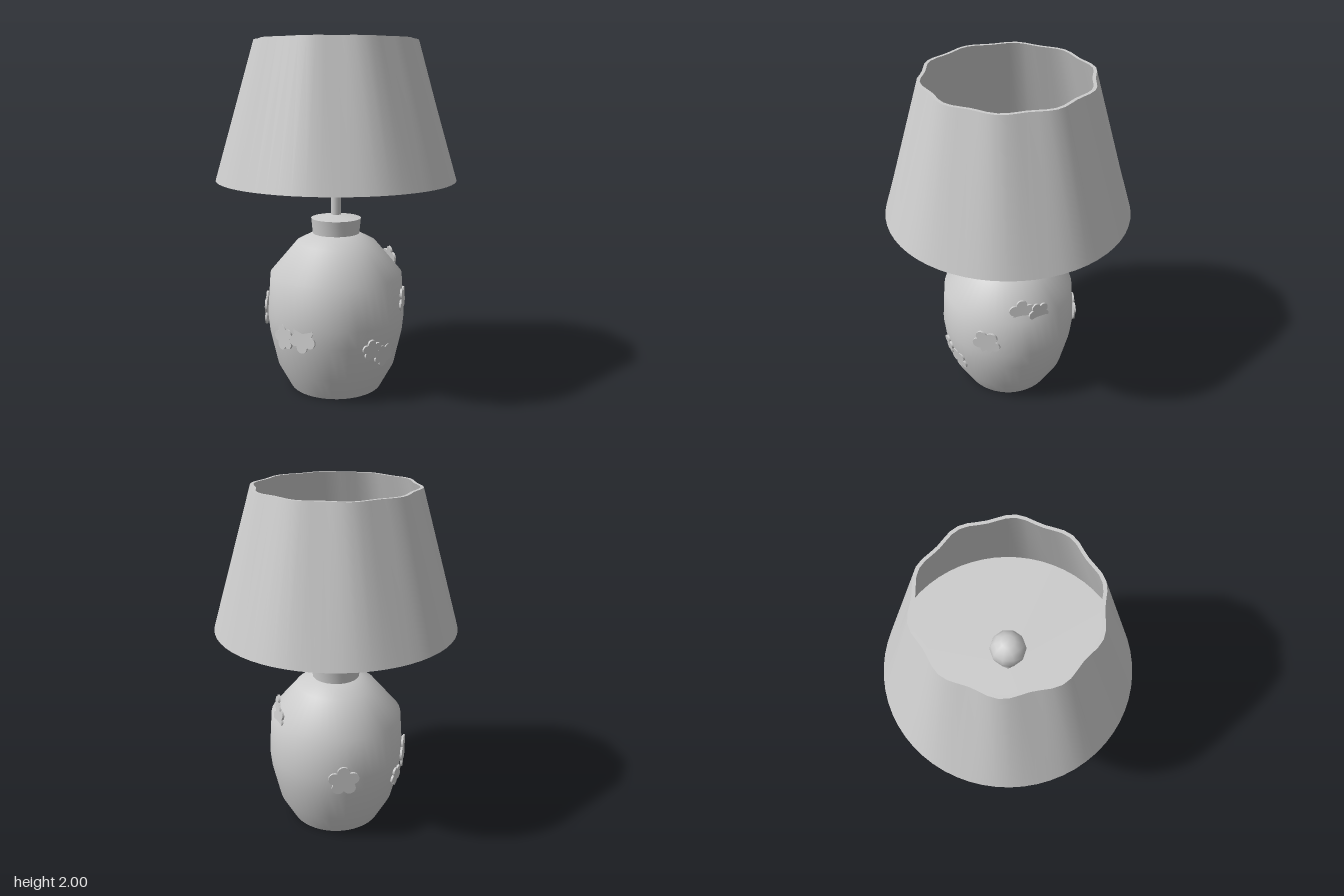
import * as THREE from 'three';
import { toCreasedNormals } from 'three/addons/utils/BufferGeometryUtils.js';

const material = new THREE.MeshStandardMaterial({ color: 0xcccccc });

// Outer profile of the vase, from foot to shoulder: [radius, height]
const VASE = [[0.27, 0], [0.345, 0.14], [0.39, 0.34], [0.4, 0.44], [0.383, 0.68], [0.23, 0.862], [0.13, 0.915]];

function addMesh(parent, name, geometry) {
  const mesh = new THREE.Mesh(geometry, material);
  mesh.name = name;
  parent.add(mesh);
  return mesh;
}

function lathe(points, sides) {
  return new THREE.LatheGeometry(points.map(([r, y]) => new THREE.Vector2(r, y)), sides);
}

function vaseRadius(y) {
  const i = Math.max(1, VASE.findIndex((p) => p[1] >= y));
  const [r0, y0] = VASE[i - 1];
  const [r1, y1] = VASE[i];
  return r0 + (r1 - r0) * (y - y0) / (y1 - y0);
}

// Thin relief blossom with five rounded petals, radius 1 before scaling
function blossomGeometry() {
  const shape = new THREE.Shape();
  const petals = 5;
  for (let i = 0; i < petals; i++) {
    const a = (i / petals) * Math.PI * 2 + Math.PI / 2;
    const cx = Math.cos(a) * 0.6, cy = Math.sin(a) * 0.6;
    shape.absarc(cx, cy, 0.4, a - 1.9, a + 1.9, false);
  }
  shape.closePath();
  return new THREE.ExtrudeGeometry(shape, { depth: 1, bevelEnabled: false, curveSegments: 8 });
}

// Shade: thin shell with a closed floor and a ten-lobed upper rim
function shadeGeometry() {
  const bottom = 1.23, top = 2;
  const geometry = lathe([[0, bottom], [0.68, bottom], [0.446, top], [0.428, top], [0.66, bottom + 0.015], [0, bottom + 0.015]], 60);
  const pos = geometry.attributes.position;
  for (let i = 0; i < pos.count; i++) {
    const x = pos.getX(i), y = pos.getY(i), z = pos.getZ(i);
    const lobe = Math.cos(10 * (Math.atan2(-z, x) - 1.48));
    const k = 1 + 0.026 * lobe * Math.max(0, (y - bottom - 0.02) / (top - bottom));
    pos.setXYZ(i, x * k, y, z * k);
  }
  return toCreasedNormals(geometry, 0.7);
}

export function createModel() {
  const lamp = new THREE.Group();
  lamp.name = 'tableLamp';

  // Vase and collar
  addMesh(lamp, 'vase', toCreasedNormals(lathe([[0, 0], ...VASE, [0, 0.915]], 48), 0.9));
  addMesh(lamp, 'collar', toCreasedNormals(lathe([[0, 0.91], [0.135, 0.91], [0.144, 1.0], [0.03, 1.02], [0, 1.02]], 32), 0.6));

  // Stem and bulb inside the shade
  const stem = addMesh(lamp, 'stem', new THREE.CylinderGeometry(0.029, 0.029, 0.4, 16));
  stem.position.y = 1.2;
  const bulb = addMesh(lamp, 'bulb', new THREE.SphereGeometry(0.097, 10, 8));
  bulb.position.y = 1.46;

  addMesh(lamp, 'shade', shadeGeometry());

  // Relief blossoms: direction x, z, then height, size, spin, tilt, lift
  const blossoms = [
    [-0.22, 0.32, 0.37, 0.075, 0.3, 0.0, -0.004],
    [-0.1, 0.38, 0.39, 0.08, 0.6, -0.1, -0.006],
    [0.26, 0.28, 0.325, 0.06, 0.1, 0.12, 0.0],
    [0.31, 0.2, 0.27, 0.07, 0.6, 0.14, -0.003],
    [0.4, 0.0, 0.53, 0.085, 0.6, 0.0, -0.008],
    [-0.39, 0.07, 0.45, 0.1, 0.2, 0.0, 0.0],
    [-0.38, -0.04, 0.34, 0.065, 0.5, 0.1, 0.0],
    [-0.18, -0.35, 0.44, 0.09, 0.0, 0.0, 0.0],
    [0.31, -0.19, 0.73, 0.075, 0.0, -0.15, 0.0],
    [0.25, -0.27, 0.71, 0.065, 0.4, -0.15, 0.0],
  ];
  const petals = blossomGeometry();
  const group = new THREE.Group();
  group.name = 'blossoms';
  lamp.add(group);
  for (const [x, z, y, size, spin, tilt, lift] of blossoms) {
    const angle = Math.atan2(x, z);
    const r = vaseRadius(y) + lift;
    const blossom = addMesh(group, 'blossom', petals);
    blossom.scale.set(size, size, 0.012);
    blossom.position.set(Math.sin(angle) * r, y, Math.cos(angle) * r);
    blossom.rotation.set(tilt, angle, spin, 'YXZ');
  }
  return lamp;
}
